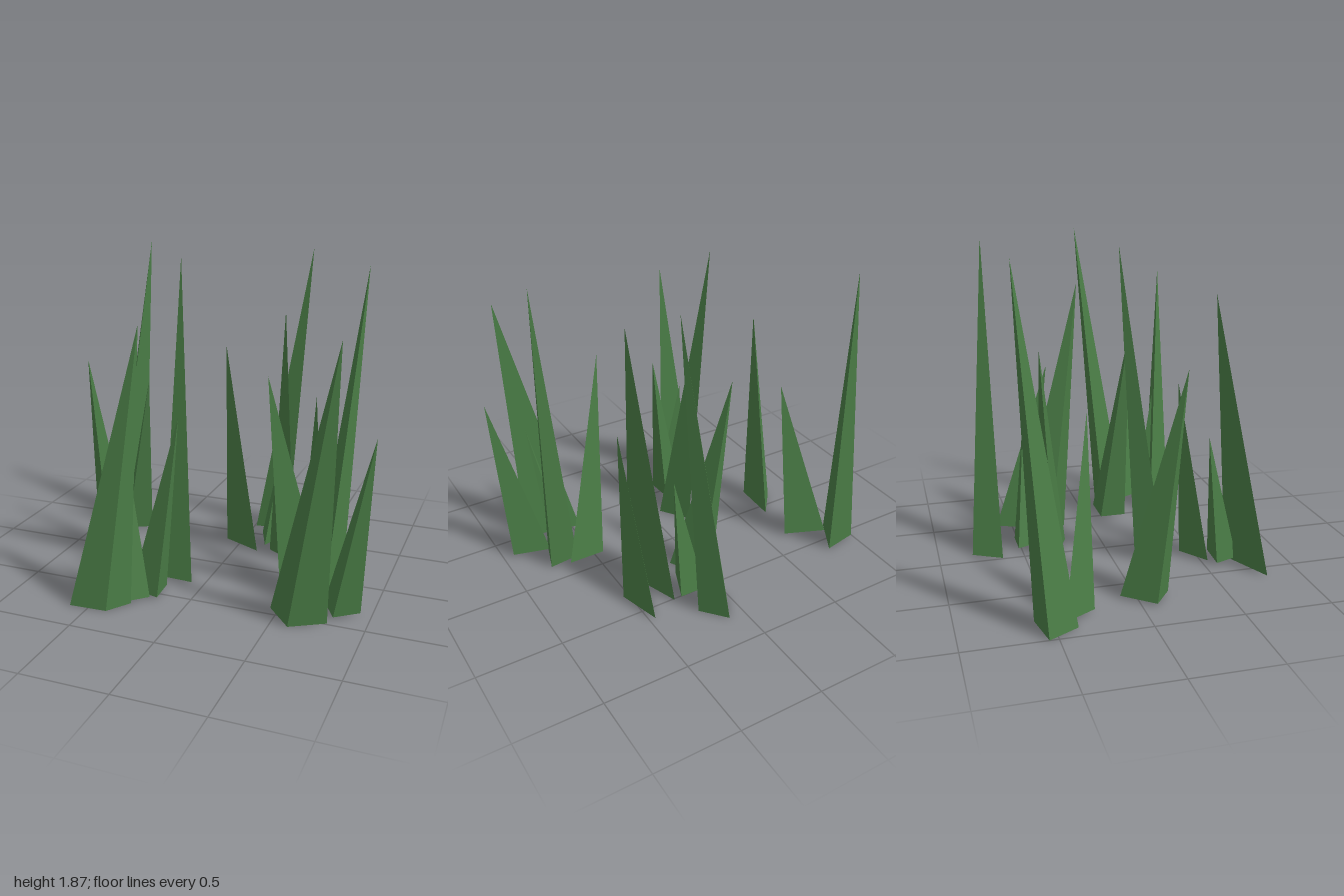
import * as THREE from 'three';

// Three-sided leaning spike: triangular base [x, z] corners and a tip [x, y, z]
function bladeGeometry(base, tip, y0) {
  let [a, b, c] = base.map(([x, z]) => new THREE.Vector3(x, y0, z));
  const turn = (b.x - a.x) * (c.z - a.z) - (b.z - a.z) * (c.x - a.x);
  if (turn > 0) [b, c] = [c, b]; // keep the sides facing outwards
  const t = new THREE.Vector3(...tip);
  const corners = [a, b, t, b, c, t, c, a, t, a, c, b];
  const geometry = new THREE.BufferGeometry().setFromPoints(corners);
  geometry.computeVertexNormals();
  return geometry;
}

// Each tuft lists its blades as [base corners, tip x, tip z, size index]
const HEIGHTS = [1.87, 1.58, 1.28, 1.05, 0.77];
const TUFTS = {
  backRightTuft: [
    [[[-1.0, -0.55], [-0.91, -0.38], [-0.79, -0.59]], -0.74, -0.66, 0],
    [[[-0.87, -0.44], [-0.77, -0.26], [-0.63, -0.34]], -0.59, -0.255, 3],
  ],
  frontRightTuft: [
    [[[-0.27, 0.29], [-0.08, 0.3], [-0.2, 0.13]], -0.245, 0.01, 0],
    [[[-0.61, 0.8], [-0.39, 0.79], [-0.3, 0.66]], -0.25, 0.58, 1],
    [[[-0.66, -0.09], [-0.8, 0.08], [-0.67, 0.18]], -0.735, 0.25, 2],
    [[[-0.19, 0.41], [-0.18, 0.57], [-0.36, 0.53]], -0.1, 0.415, 3],
    [[[-0.36, 0.71], [-0.22, 0.58], [-0.41, 0.57]], -0.36, 0.52, 4],
  ],
  backLeftTuft: [
    [[[0.01, -0.63], [0.1, -0.8], [0.22, -0.66]], 0.35, -0.66, 0],
    [[[0.29, -0.51], [0.21, -0.3], [0.41, -0.17]], 0.35, -0.09, 1],
    [[[-0.09, -0.33], [0.05, -0.41], [0.15, -0.22]], -0.13, -0.415, 2],
    [[[0.47, -0.6], [0.39, -0.4], [0.54, -0.35]], 0.5, -0.255, 3],
    [[[0.09, -0.52], [0.25, -0.52], [0.17, -0.32]], 0.26, -0.45, 4],
  ],
  frontLeftTuft: [
    [[[0.6, 0.15], [0.72, 0.32], [0.78, 0.13]], 0.84, 0.01, 0],
    [[[0.45, 0.43], [0.79, 0.49], [0.6, 0.6]], 0.84, 0.58, 1],
    [[[0.45, 0.09], [0.67, 0.09], [0.45, 0.25]], 0.36, 0.25, 2],
    [[[0.72, 0.28], [0.94, 0.34], [0.81, 0.44]], 1.0, 0.41, 3],
    [[[0.6, 0.36], [0.67, 0.39], [0.55, 0.46]], 0.73, 0.52, 4],
  ],
};

export function createModel() {
  const model = new THREE.Group();
  model.name = 'grassPatch';
  const green = new THREE.MeshStandardMaterial({ color: 0x4a7d46, flatShading: true });

  for (const [name, blades] of Object.entries(TUFTS)) {
    const tuft = new THREE.Group();
    tuft.name = name;
    for (const [base, x, z, size] of blades) {
      // The shorter blades start just above the ground
      const y0 = size > 1 ? 0.015 : 0;
      const blade = new THREE.Mesh(bladeGeometry(base, [x, HEIGHTS[size], z], y0), green);
      blade.name = 'grassBlade';
      tuft.add(blade);
    }
    model.add(tuft);
  }
  return model;
}
